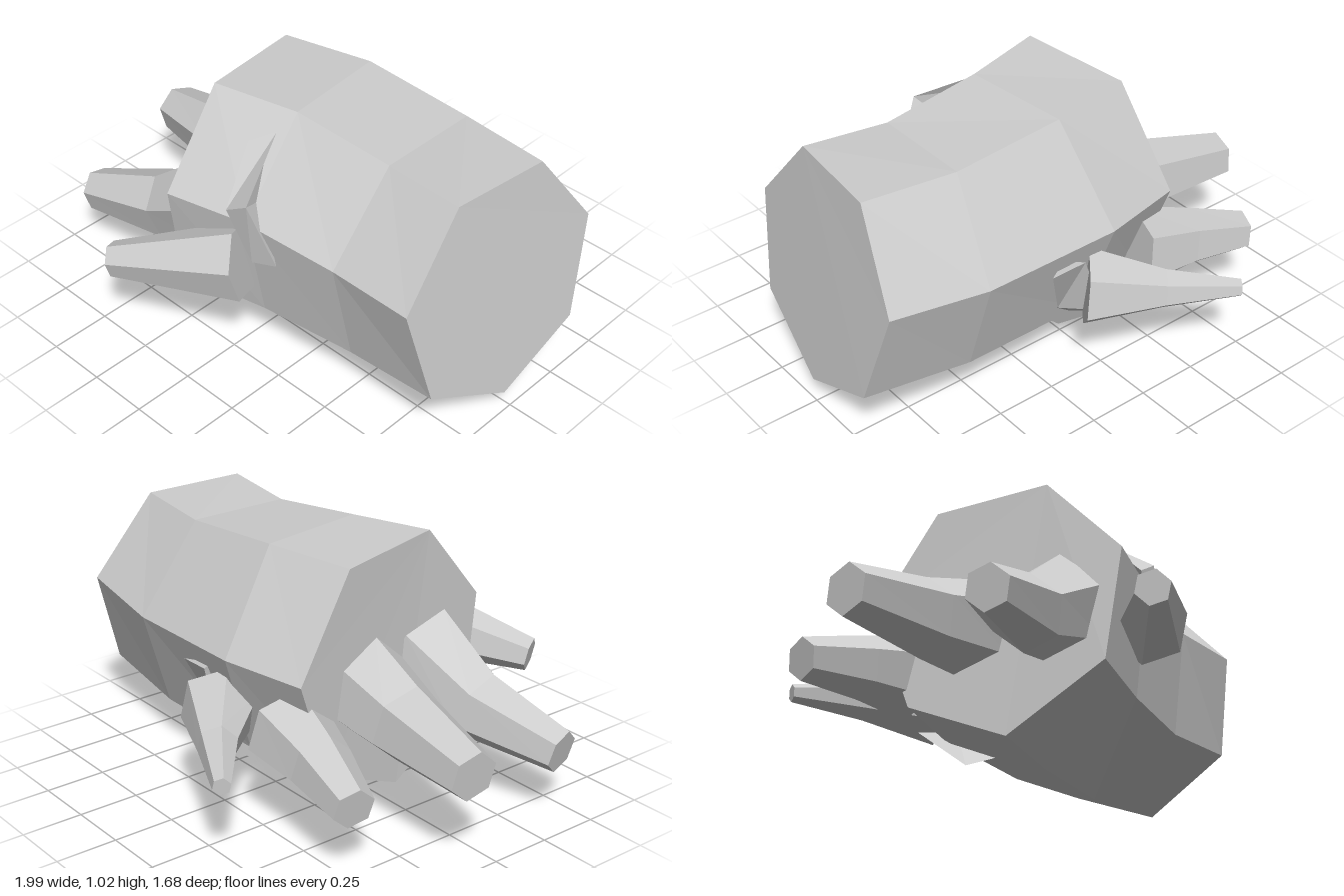
import * as THREE from 'three';

const V = (a) => new THREE.Vector3(...a);

// Skin a list of rings (each counter-clockwise about the direction of travel) and cap both ends
function loft(name, rings, material) {
  const pos = [];
  const tri = (a, b, c) => [a, b, c].forEach((p) => pos.push(p.x, p.y, p.z));
  const n = rings[0].length;
  for (let k = 0; k < rings.length - 1; k++) {
    const a = rings[k], b = rings[k + 1];
    for (let i = 0; i < n; i++) {
      const j = (i + 1) % n;
      tri(a[i], a[j], b[j]);
      tri(a[i], b[j], b[i]);
    }
  }
  const first = rings[0], last = rings[rings.length - 1];
  for (let i = 1; i < n - 1; i++) {
    tri(first[0], first[i + 1], first[i]);
    tri(last[0], last[i], last[i + 1]);
  }
  const geo = new THREE.BufferGeometry();
  geo.setAttribute('position', new THREE.Float32BufferAttribute(pos, 3));
  geo.computeVertexNormals();
  const mesh = new THREE.Mesh(geo, material);
  mesh.name = name;
  return mesh;
}

// Six-sided tapering root; each station is [x, y, z, radius], base to tip
function rootRings(stations) {
  const c = stations.map((s) => V(s));
  return stations.map((s, k) => {
    const d = c[Math.min(k + 1, c.length - 1)].clone().sub(c[Math.max(k - 1, 0)]).normalize();
    const side = new THREE.Vector3().crossVectors(d, new THREE.Vector3(0, 1, 0)).normalize();
    const up = new THREE.Vector3().crossVectors(side, d);
    return Array.from({ length: 6 }, (_, i) => {
      const t = (i + 0.2) * Math.PI / 3;
      return c[k].clone().addScaledVector(up, s[3] * Math.cos(t)).addScaledVector(side, -s[3] * Math.sin(t));
    }).reverse();
  });
}

export function createModel() {
  const group = new THREE.Group();
  group.name = 'fallenStump';
  const mat = new THREE.MeshStandardMaterial({ color: 0xcccccc, flatShading: true, side: THREE.DoubleSide });

  // Seven-sided trunk lying on its side, from the cut end to the root end
  const trunk = [
    [[0.85, 0.99, 0.2], [0.885, 0.98, -0.22], [0.95, 0.64, -0.46], [1, 0.24, -0.34],
      [0.99, 0.08, 0.03], [0.935, 0.27, 0.4], [0.87, 0.67, 0.48]],
    [[0.5, 0.97, 0.17], [0.5, 0.97, -0.26], [0.54, 0.6, -0.5], [0.55, 0.2, -0.38],
      [0.53, 0.025, 0.01], [0.53, 0.23, 0.39], [0.5, 0.65, 0.46]],
    [[0.07, 1.01, 0.2], [0.02, 1, -0.25], [-0.04, 0.61, -0.51], [0, 0.19, -0.37],
      [0.08, 0.007, 0.05], [0.12, 0.23, 0.44], [0.1, 0.68, 0.51]],
    [[-0.28, 1.02, 0.29], [-0.36, 0.99, -0.17], [-0.4, 0.6, -0.43], [-0.37, 0.18, -0.28],
      [-0.305, 0, 0.12], [-0.26, 0.23, 0.52], [-0.24, 0.68, 0.59]],
  ].map((r) => r.map(V));
  group.add(loft('trunk', trunk, mat));

  // Roots spreading from the torn end
  const roots = {
    sideRootFront: [[0.09, 0.5, 0.52, 0.155], [-0.37, 0.4, 0.78, 0.07]],
    endRootFront: [[-0.22, 0.5, 0.3, 0.21], [-0.52, 0.35, 0.35, 0.145], [-0.895, 0.27, 0.43, 0.088]],
    endRootMiddle: [[-0.28, 0.48, -0.05, 0.2], [-0.57, 0.42, -0.07, 0.155], [-0.98, 0.375, -0.11, 0.1]],
    endRootBack: [[-0.25, 0.37, -0.38, 0.17], [-0.5, 0.33, -0.42, 0.125], [-0.765, 0.28, -0.48, 0.083]],
    sideRootBack: [[0.06, 0.38, -0.47, 0.16], [-0.18, 0.36, -0.65, 0.08], [-0.43, 0.34, -0.81, 0.036]],
  };
  for (const [name, stations] of Object.entries(roots)) group.add(loft(name, rootRings(stations), mat));

  // Thin bark flanges beside the two side roots
  const flanges = {
    barkFlangeFront: [
      [[0.24, 0.54, 0.49], [0.16, 0.5, 0.44], [0.13, 0.51, 0.51]],
      [[0.13, 0.78, 0.53], [0.08, 0.72, 0.4], [0.02, 0.71, 0.53]],
      [[0.04, 0.945, 0.28], [0, 0.9, 0.25], [-0.04, 0.9, 0.35]],
    ],
    barkFlangeBack: [
      [[0.12, 0.12, -0.2], [0.1, 0.16, -0.26], [0.05, 0.085, -0.3]],
      [[0.14, 0.27, -0.4], [0.08, 0.3, -0.38], [0, 0.25, -0.5]],
      [[0.25, 0.52, -0.5], [0.15, 0.52, -0.44], [0.1, 0.53, -0.51]],
    ],
  };
  for (const [name, rings] of Object.entries(flanges)) {
    // ring order follows the side of the trunk the flange sits on
    const back = name.endsWith('Back');
    group.add(loft(name, rings.map((r) => (back ? r.map(V).reverse() : r.map(V))), mat));
  }
  return group;
}
